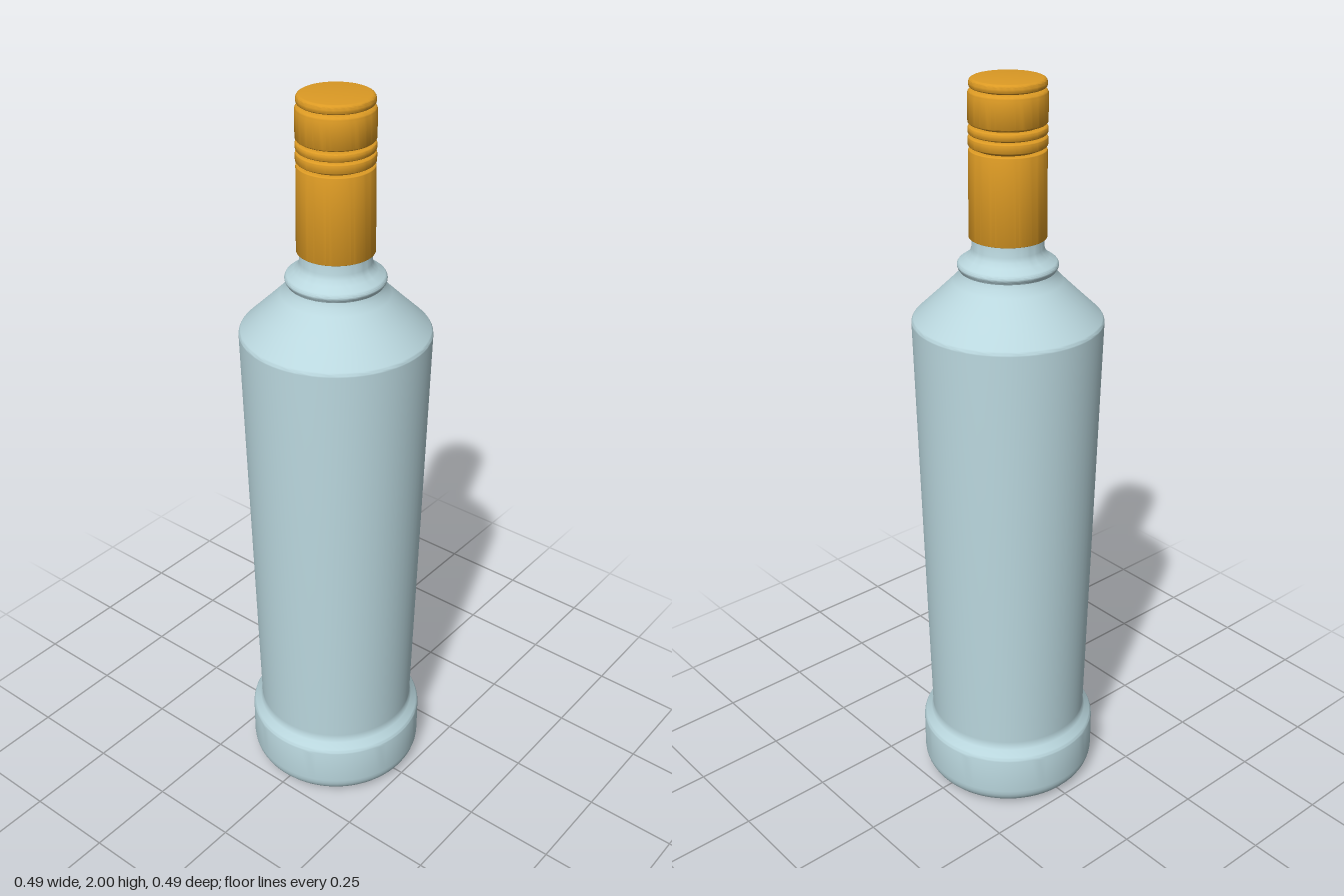
import * as THREE from 'three';
import { toCreasedNormals } from 'three/addons/utils/BufferGeometryUtils.js';

const SEGMENTS = 72;

// Turn a [radius, height] profile, listed from bottom to top, around the y axis
function turned(name, profile, material, crease = 0.6) {
  const points = profile.map(([r, y]) => new THREE.Vector2(r, y));
  const geometry = toCreasedNormals(new THREE.LatheGeometry(points, SEGMENTS), crease);
  const mesh = new THREE.Mesh(geometry, material);
  mesh.name = name;
  return mesh;
}

// Profile points of a rounded corner, angles in degrees
function arc(cx, cy, radius, from, to, steps = 6) {
  return Array.from({ length: steps + 1 }, (_, i) => {
    const a = THREE.MathUtils.degToRad(from + ((to - from) * i) / steps);
    return [cx + radius * Math.cos(a), cy + radius * Math.sin(a)];
  });
}

export function createModel() {
  const glass = new THREE.MeshStandardMaterial({ color: 0xbad7de });
  glass.name = 'pale blue glass';
  const gold = new THREE.MeshStandardMaterial({ color: 0xdc9a24 });
  gold.name = 'golden cap';

  const model = new THREE.Group();
  model.name = 'bottle';

  // Rounded foot, tapering body, sloped shoulder, collar and neck
  model.add(turned('bottleBody', [
    [0, 0.005], [0.17, 0.005], [0.18, 0],
    ...arc(0.19, 0.055, 0.055, -90, 0, 8),
    ...arc(0.22, 0.155, 0.025, 0, 40, 4),
    [0.224, 0.187], [0.219, 0.197], [0.219, 0.21],
    [0.246, 1.385],
    ...arc(0.231, 1.39, 0.015, 0, 48, 4),
    [0.19, 1.45], [0.14, 1.499], [0.126, 1.515], [0.122, 1.527],
    ...arc(0.116, 1.54, 0.012, -50, 60, 6),
    [0.105, 1.562], [0.095, 1.573], [0.091, 1.585], [0.09, 1.63], [0, 1.63],
  ], glass));

  // Cap skirt, two narrow rings, grip and domed lid, separated by grooves
  const grooveRadius = 0.091;
  const bands = [
    [1.612, 1.832, 0.098, 0.096, 0.004],
    [1.838, 1.864, 0.097, 0.097, 0.006],
    [1.868, 1.888, 0.097, 0.097, 0.006],
    [1.893, 1.975, 0.097, 0.097, 0.012],
    [1.978, 2.0, 0.094, 0.094, 0.01],
  ];
  const cap = [[0, 1.612]];
  bands.forEach(([y0, y1, r0, r1, round], i) => {
    const low = i === 0 ? 0.001 : Math.min(round, 0.006);
    if (i > 0) cap.push([grooveRadius - 0.003, y0]);
    cap.push(...arc(r0 - low, y0 + low, low, -90, 0, 4));
    cap.push(...arc(r1 - round, y1 - round, round, 0, 90, 5));
    if (i < bands.length - 1) cap.push([grooveRadius - 0.012, y1]);
  });
  cap.push([0, 2.0]);
  model.add(turned('screwCap', cap, gold));

  return model;
}
